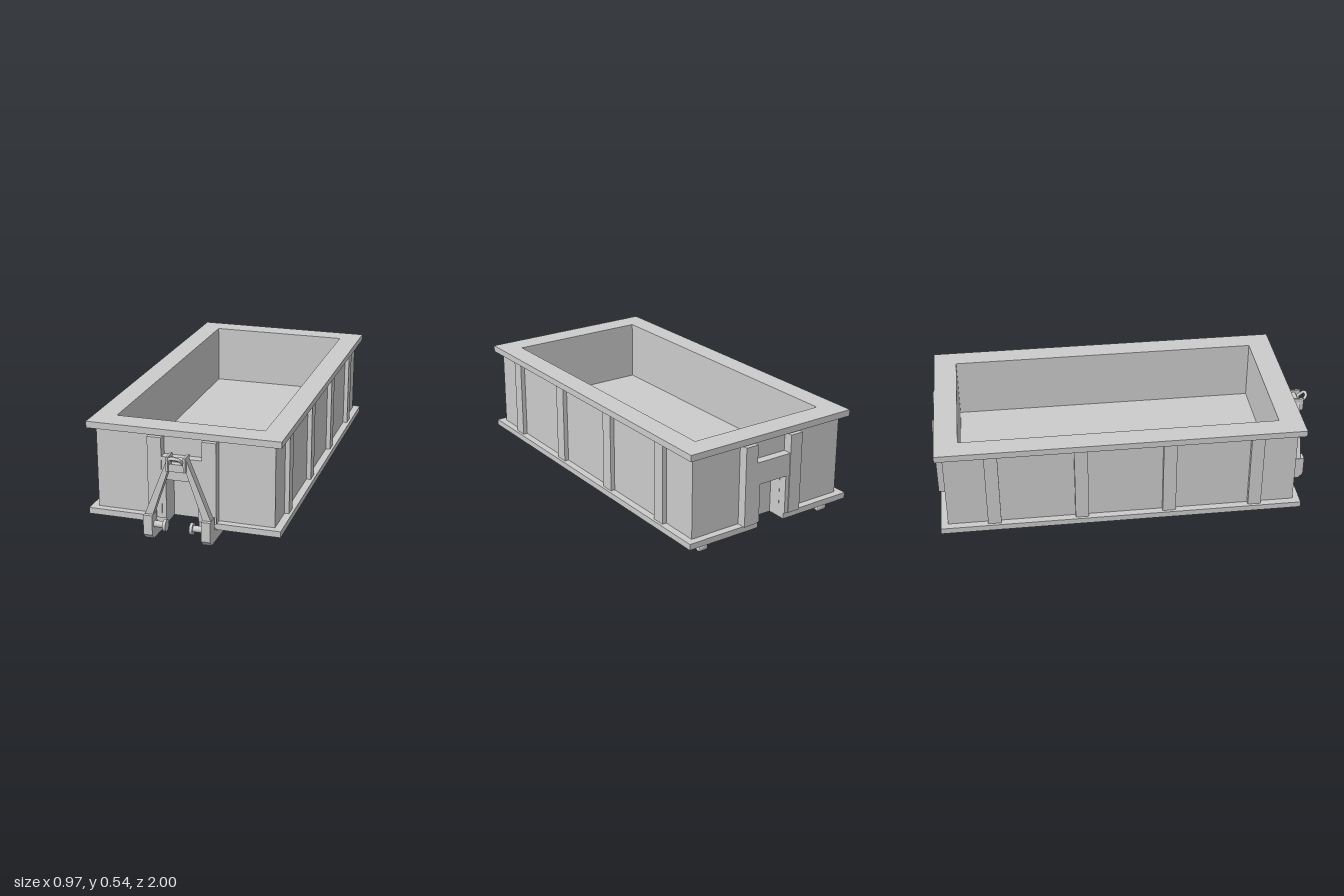
import * as THREE from 'three';

const grey = new THREE.MeshStandardMaterial({ color: 0xcccccc, side: THREE.DoubleSide });

export function createModel() {
  const model = new THREE.Group();
  model.name = 'hookLiftContainer';

  function add(name, geometry) {
    const mesh = new THREE.Mesh(geometry, grey);
    mesh.name = name;
    model.add(mesh);
  }

  // box given by its limits on each axis
  function box(name, x0, x1, y0, y1, z0, z1) {
    const g = new THREE.BoxGeometry(x1 - x0, y1 - y0, z1 - z0);
    add(name, g.translate((x0 + x1) / 2, (y0 + y1) / 2, (z0 + z1) / 2));
  }

  const shapeOf = (points) => new THREE.Shape(points.map(([a, b]) => new THREE.Vector2(a, b)));
  const extrude = (shape, depth) => new THREE.ExtrudeGeometry(shape, { depth, bevelEnabled: false });

  // rectangle seen from above with a notch in each end (flat when not notched)
  function outline(halfX, back, front, notched) {
    const n = 0.08, nf = notched ? 0.77 : front, nb = notched ? -0.885 : back;
    return [[-halfX, front], [-n, front], [-n, nf], [n, nf], [n, front], [halfX, front],
      [halfX, back], [n, back], [n, nb], [-n, nb], [-n, back], [-halfX, back]];
  }
  const notchedPlate = outline(0.484, -0.987, 0.876, true);
  const plate = outline(0.484, -0.987, 0.876, false);
  const notchedWall = outline(0.447, -0.95, 0.84, true);
  const wall = outline(0.447, -0.95, 0.84, false);
  const opening = outline(0.373, -0.868, 0.753, false);
  const floorY = 0.225;

  // tub skin: base edge, outer walls with recesses, rim, then down the inner walls
  const levels = [[notchedPlate, 0.064], [notchedPlate, 0.095], [notchedWall, 0.095], [notchedWall, 0.283],
    [wall, 0.283], [wall, 0.511], [plate, 0.511], [plate, 0.544], [opening, 0.544], [opening, floorY]];
  const skin = [];
  for (let k = 0; k + 1 < levels.length; k++) {
    const [low, y0] = levels[k], [high, y1] = levels[k + 1];
    low.forEach(([ax, az], i) => {
      const j = (i + 1) % low.length;
      const [bx, bz] = low[j], [cx, cz] = high[j], [dx, dz] = high[i];
      skin.push(ax, y0, az, bx, y0, bz, cx, y1, cz, ax, y0, az, cx, y1, cz, dx, y1, dz);
    });
  }
  const tub = new THREE.BufferGeometry();
  tub.setAttribute('position', new THREE.Float32BufferAttribute(skin, 3));
  tub.computeVertexNormals();
  add('tub', tub);

  const underside = new THREE.ShapeGeometry(shapeOf(notchedPlate));
  add('underside', underside.rotateX(Math.PI / 2).translate(0, 0.064, 0));
  const floor = new THREE.PlaneGeometry(0.746, 1.621).rotateX(-Math.PI / 2);
  add('floor', floor.translate(0, floorY, -0.0575));

  // ribs, end posts, rollers and hook frame parts on both sides
  for (const s of [-1, 1]) {
    const span = (a, b) => (s > 0 ? [a, b] : [-b, -a]);
    for (const z of [0.632, 0.185, -0.265, -0.713]) box('sideRib', ...span(0.445, 0.47), 0.095, 0.51, z - 0.034, z + 0.034);
    box('frontPost', ...span(0.101, 0.171), 0.095, 0.505, 0.84, 0.886);
    box('backPost', ...span(0.101, 0.171), 0.095, 0.505, -0.998, -0.95);

    // roller with dished ends
    const profile = [[0, -0.015], [0.013, -0.015], [0.013, -0.02], [0.026, -0.02],
      [0.026, 0.02], [0.013, 0.02], [0.013, 0.015], [0, 0.015]];
    const roller = new THREE.LatheGeometry(profile.map(([r, h]) => new THREE.Vector2(r, h)), 24);
    add('roller', roller.rotateZ(Math.PI / 2).translate(s * 0.373, 0.03, -0.925));

    // skid runner with upright foot, profile in z and y
    const skid = shapeOf([[-0.97, 0.137], [-0.97, 0.037], [-0.945, 0.01], [-0.62, 0.005],
      [-0.62, 0.054], [-0.87, 0.055], [-0.87, 0.072], [-0.9, 0.072], [-0.9, 0.137]]);
    add('skidRunner', extrude(skid, 0.045).rotateY(Math.PI / 2).translate(s * 0.1445 - 0.0225, 0, 0));

    // leaning leg of the hook frame
    const leg = shapeOf([[0.165, 0.135], [0.05, 0.425], [0.043, 0.375], [0.125, 0.135]].map(([x, y]) => [s * x, y]));
    add('hookFrameLeg', extrude(leg, 0.04).translate(0, 0, 0.91));
    box('hookCheek', ...span(0.037, 0.048), 0.375, 0.447, 0.905, 0.97);

    // locking pin with its collar
    const pin = new THREE.CylinderGeometry(0.016, 0.016, 0.065, 16).rotateZ(Math.PI / 2);
    add('lockPin', pin.translate(s * 0.095, 0.083, 0.935));
    const collar = new THREE.CylinderGeometry(0.029, 0.029, 0.015, 20).rotateZ(Math.PI / 2);
    add('pinCollar', collar.translate(s * 0.067, 0.081, 0.935));
  }

  // panels between the posts, around the recesses
  for (const [name, z] of [['frontPanel', 0.84], ['backPanel', -0.994]]) {
    const panel = shapeOf([[-0.101, 0.095], [-0.08, 0.095], [-0.08, 0.295], [0.08, 0.295],
      [0.08, 0.095], [0.101, 0.095], [0.101, 0.41], [-0.101, 0.41]]);
    add(name, extrude(panel, 0.043).translate(0, 0, z));
  }

  // hook block and lifting loop
  box('hookBlock', -0.045, 0.045, 0.372, 0.41, 0.89, 0.962);
  const loop = new THREE.CatmullRomCurve3([
    [-0.031, 0.402, 0.945], [-0.031, 0.425, 0.967], [-0.022, 0.445, 0.987], [0, 0.449, 0.991],
    [0.022, 0.445, 0.987], [0.031, 0.425, 0.967], [0.031, 0.402, 0.945],
  ].map((p) => new THREE.Vector3(...p)));
  add('liftingLoop', new THREE.TubeGeometry(loop, 32, 0.008, 10));
  add('hookAxle', new THREE.CylinderGeometry(0.012, 0.012, 0.09, 14).rotateZ(Math.PI / 2).translate(0, 0.425, 0.935));

  return model;
}
